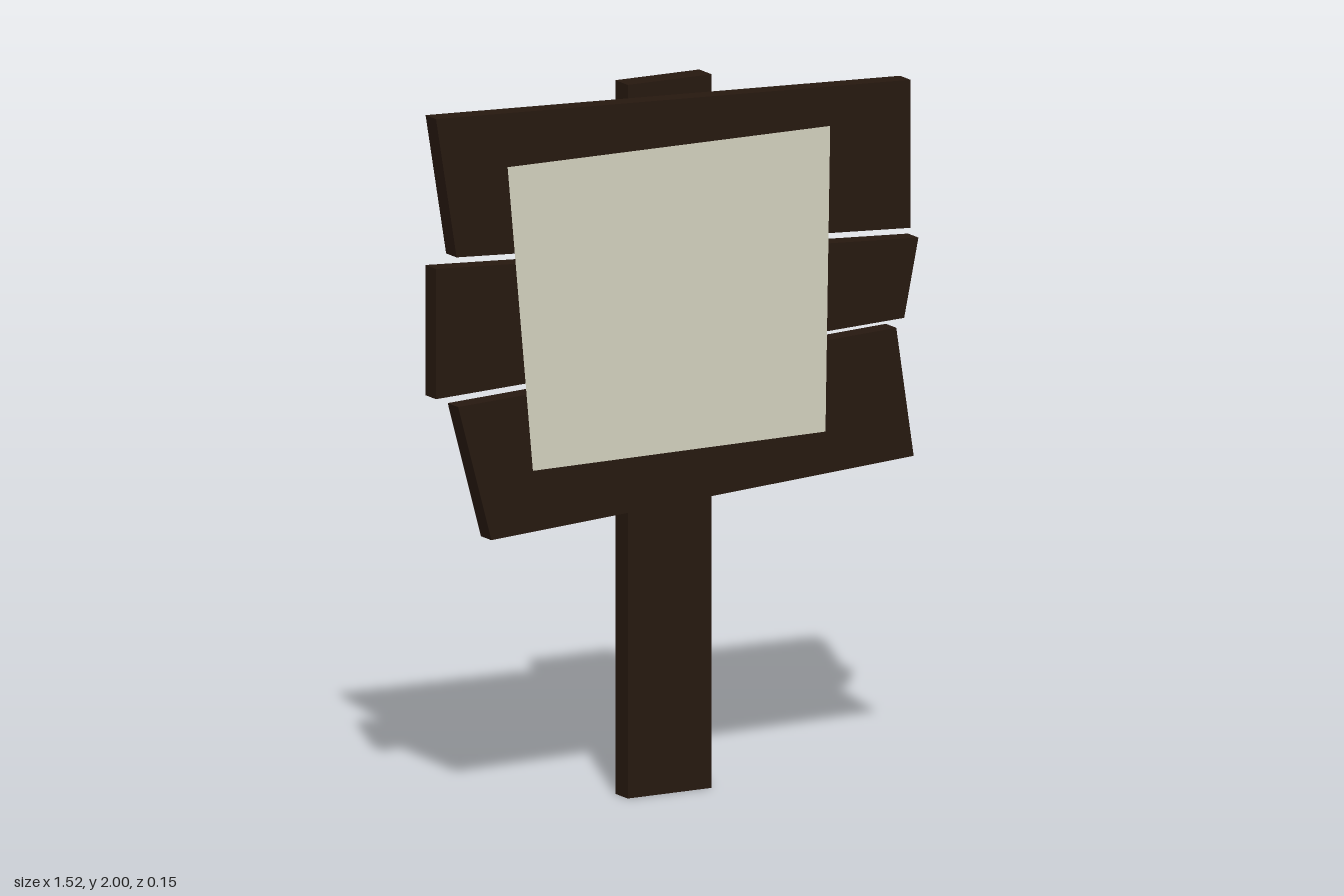
import * as THREE from 'three';

const wood = new THREE.MeshStandardMaterial({ color: 0x26180f });
const paper = new THREE.MeshStandardMaterial({ color: 0xd3d1be, side: THREE.DoubleSide });

// Flat outline from a few corners
const outline = (corners) => new THREE.Shape(corners.map(([x, y]) => new THREE.Vector2(x, y)));

// Plank cut from an outline, spanning z0..z1
function plank(name, corners, z0, z1) {
  const geometry = new THREE.ExtrudeGeometry(outline(corners), { depth: z1 - z0, bevelEnabled: false });
  geometry.translate(0, 0, z0);
  const mesh = new THREE.Mesh(geometry, wood);
  mesh.name = name;
  return mesh;
}

export function createModel() {
  const model = new THREE.Group();
  model.name = 'signpost';

  // Upright post behind the boards
  model.add(plank('post', [[-0.11, 0], [0.155, 0], [0.155, 2], [-0.11, 2]], -0.077, -0.009));

  // Three crooked boards, corners counter-clockwise from lower left
  const boards = {
    topBoard: [[-0.70, 1.60], [0.735, 1.52], [0.735, 1.935], [-0.765, 1.995]],
    middleBoard: [[-0.765, 1.21], [0.715, 1.27], [0.76, 1.49], [-0.765, 1.575]],
    bottomBoard: [[-0.59, 0.795], [0.745, 0.88], [0.69, 1.245], [-0.695, 1.18]],
  };
  for (const [name, corners] of Object.entries(boards)) {
    model.add(plank(name, corners, 0.018, 0.075));
  }

  // Paper notice pinned over the boards
  const notice = new THREE.Mesh(
    new THREE.ShapeGeometry(outline([[-0.46, 0.975], [0.465, 0.98], [0.48, 1.835], [-0.54, 1.835]])),
    paper
  );
  notice.name = 'notice';
  notice.position.z = 0.077;
  model.add(notice);

  return model;
}
